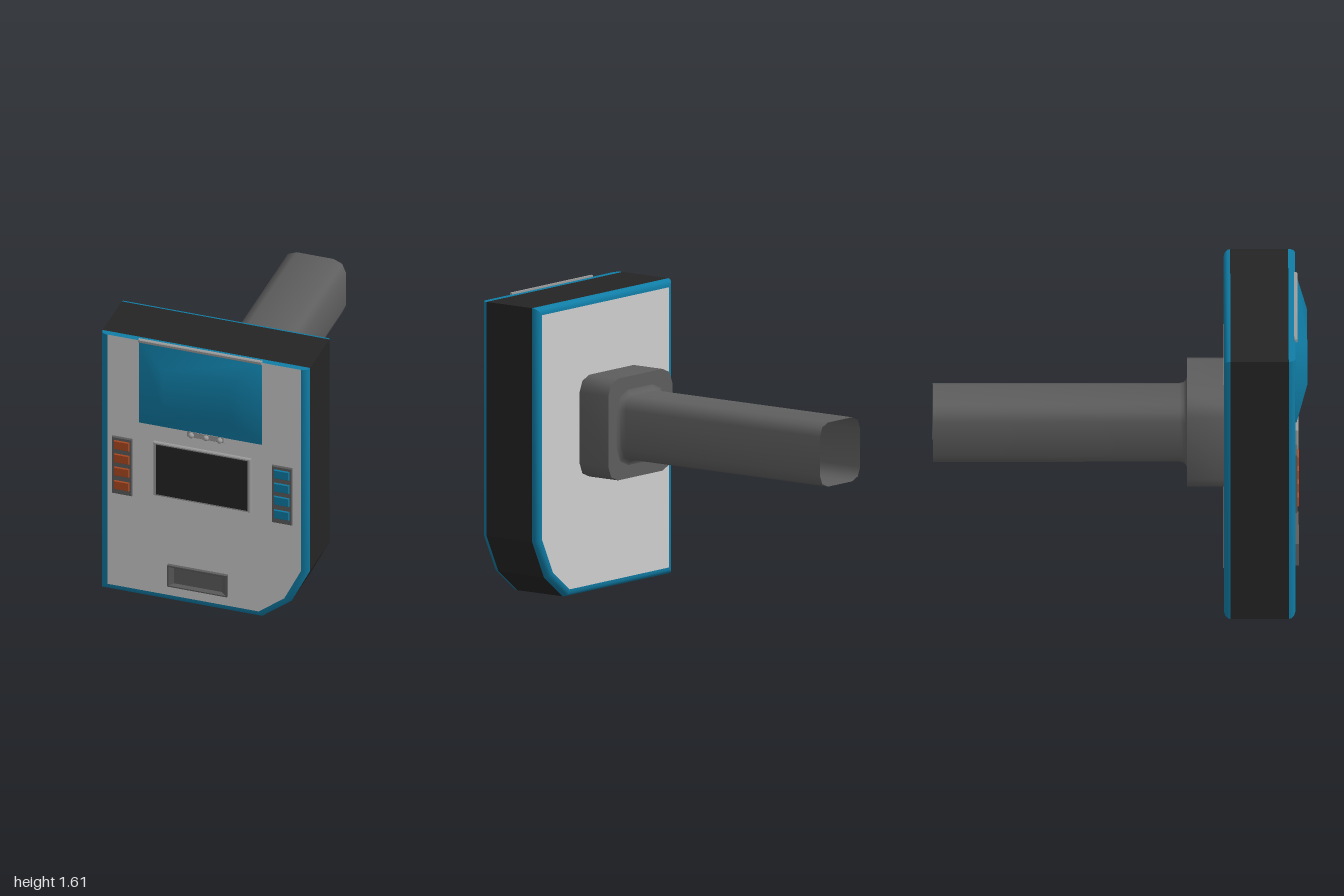
import * as THREE from 'three';
import { toCreasedNormals } from 'three/addons/utils/BufferGeometryUtils.js';

const mat = (name, color, side = THREE.FrontSide) => {
  const m = new THREE.MeshStandardMaterial({ color, side });
  m.name = name;
  return m;
};

// Skin a stack of closed loops (counter-clockwise seen from +z, running back to front).
function loft(rings, { back = false, front = false, crease = 0.6 } = {}) {
  const n = rings[0].length, pos = [], idx = [];
  rings.forEach(r => r.forEach(p => pos.push(...p)));
  for (let k = 0; k + 1 < rings.length; k++) {
    for (let i = 0; i < n; i++) {
      const a = k * n + i, b = k * n + (i + 1) % n;
      idx.push(a, b, b + n, a, b + n, a + n);
    }
  }
  const last = (rings.length - 1) * n;
  for (let i = 1; i < n - 1; i++) {
    if (back) idx.push(0, i + 1, i);
    if (front) idx.push(last, last + i, last + i + 1);
  }
  const g = new THREE.BufferGeometry();
  g.setAttribute('position', new THREE.Float32BufferAttribute(pos, 3));
  g.setIndex(idx);
  g.computeVertexNormals();
  return crease > 0 ? toCreasedNormals(g, crease) : g;
}

// Rectangular loop from its limits.
const rect = (x0, x1, y0, y1, z) => [[x0, y0, z], [x1, y0, z], [x1, y1, z], [x0, y1, z]];

// Rounded square loop with two segments per corner.
function roundSquare(cx, cy, half, r, z) {
  const pts = [];
  [[1, 1], [-1, 1], [-1, -1], [1, -1]].forEach(([sx, sy], q) => {
    for (let s = 0; s <= 2; s++) {
      const a = (q + s / 2) * Math.PI / 2;
      pts.push([cx + sx * (half - r) + r * Math.cos(a), cy + sy * (half - r) + r * Math.sin(a), z]);
    }
  });
  return pts;
}

// Cabinet outline, moved inwards by d (the top edge by d * topWeight).
const OUTLINE = [[-0.59, 0], [0.32, 0], [0.483, 0.125], [0.585, 0.33], [0.585, 1.6], [-0.59, 1.6]];
function outline(d, z, topWeight = 1) {
  const n = OUTLINE.length;
  const lines = OUTLINE.map((p, i) => {
    const q = OUTLINE[(i + 1) % n];
    const dx = q[0] - p[0], dy = q[1] - p[1], l = Math.hypot(dx, dy);
    const nx = -dy / l, ny = dx / l;
    return [nx, ny, nx * p[0] + ny * p[1] + d * (i === 4 ? topWeight : 1)];
  });
  return lines.map((b, i) => {
    const a = lines[(i + n - 1) % n], det = a[0] * b[1] - a[1] * b[0];
    return [(a[2] * b[1] - a[1] * b[2]) / det, (a[0] * b[2] - a[2] * b[0]) / det, z];
  });
}

export function createModel() {
  const root = new THREE.Group();
  root.name = 'wallTerminal';
  const blue = mat('blue trim', 0x107da6);
  const grey = mat('light grey panel', 0xcfcfcf);
  const black = mat('black', 0x242424);
  const dark = mat('dark grey', 0x5e5e5e);
  const hollow = mat('dark grey tube', 0x5e5e5e, THREE.DoubleSide);
  const orange = mat('orange', 0xb04a22);
  const mid = mat('mid grey', 0x9c9c9c);

  const add = (name, geo, material, parent = root) => {
    const m = new THREE.Mesh(geo, material);
    m.name = name;
    parent.add(m);
    return m;
  };
  // Raised block with a small bevel round its front face.
  const plate = (name, x0, x1, y0, y1, z0, z1, material, parent, b = 0.005) => add(name, loft([
    rect(x0, x1, y0, y1, z0), rect(x0, x1, y0, y1, z1 - b),
    rect(x0 + b, x1 - b, y0 + b, y1 - b, z1)], { front: true, back: true }), material, parent);

  // Cabinet: black band, rounded blue rims, grey panels
  add('cabinetBand', loft([outline(0, 0.59), outline(0, 0.9)], { crease: 0.3 }), black);
  add('frontRim', loft([[0, 0.9], [0.003, 0.915], [0.012, 0.928], [0.027, 0.935], [0.04, 0.936]]
    .map(([d, z]) => outline(d, z, 0))), blue);
  add('backRim', loft([[0.04, 0.554], [0.027, 0.555], [0.012, 0.562], [0.003, 0.575], [0, 0.59]]
    .map(([d, z]) => outline(d, z))), blue);
  add('frontPanel', loft([outline(0.04, 0.936, 0)], { front: true }), grey);
  add('backPanel', loft([outline(0.04, 0.554)], { back: true }), grey);

  // Bulging visor with its top bar
  add('visor', loft([rect(-0.37, 0.325, 1.09, 1.597, 0.935),
    rect(-0.37, 0.325, 1.09, 1.597, 0.942),
    rect(-0.21, 0.165, 1.23, 1.475, 1.0)], { front: true, crease: 0 }), blue);
  plate('visorBar', -0.373, 0.327, 1.59, 1.61, 0.93, 0.948, mid, root, 0.004);

  // Indicator strip with three knobs
  plate('indicatorStrip', -0.097, 0.115, 1.055, 1.095, 0.93, 0.944, mid);
  for (const x of [-0.072, 0.012, 0.09]) {
    add('indicatorKnob', new THREE.SphereGeometry(0.016, 12, 8), mid).position.set(x, 1.072, 0.948);
  }

  // Screen in a raised frame
  plate('screenFrame', -0.285, 0.266, 0.656, 0.99, 0.93, 0.952, mid);
  plate('screen', -0.268, 0.25, 0.667, 0.978, 0.951, 0.955, black, root, 0.002);

  // Button panels
  for (const [side, x0, x1, colour] of [['right', -0.522, -0.408, orange], ['left', 0.384, 0.498, blue]]) {
    const g = new THREE.Group();
    g.name = side + 'ButtonPanel';
    root.add(g);
    plate('buttonBase', x0, x1, 0.62, 0.976, 0.93, 0.948, dark, g);
    for (const y of [0.929, 0.846, 0.764, 0.679]) {
      plate('button', x0 + 0.014, x1 - 0.014, y - 0.027, y + 0.027, 0.945, 0.956, colour, g, 0.004);
    }
  }

  // Delivery tray with a sloping recess
  add('tray', loft([rect(-0.206, 0.134, 0.103, 0.236, 0.93), rect(-0.206, 0.134, 0.103, 0.236, 0.955),
    rect(-0.198, 0.126, 0.11, 0.229, 0.955), rect(-0.172, 0.1, 0.122, 0.217, 0.94)],
  { front: true, crease: 0.2 }), dark);

  // Mounting block and hollow arm flaring into it
  const cx = -0.054, cy = 0.905;
  add('mountBlock', loft([roundSquare(cx, cy, 0.276, 0.085, 0.358),
    roundSquare(cx, cy, 0.276, 0.085, 0.56)], { back: true, crease: 0.9 }), dark);
  add('arm', loft([[0.174, -1], [0.174, 0.32], [0.18, 0.34], [0.19, 0.352], [0.205, 0.357]]
    .map(([h, z]) => roundSquare(cx, cy, h, 0.07 + (h - 0.174), z)), { crease: 0.9 }), hollow);

  return root;
}
